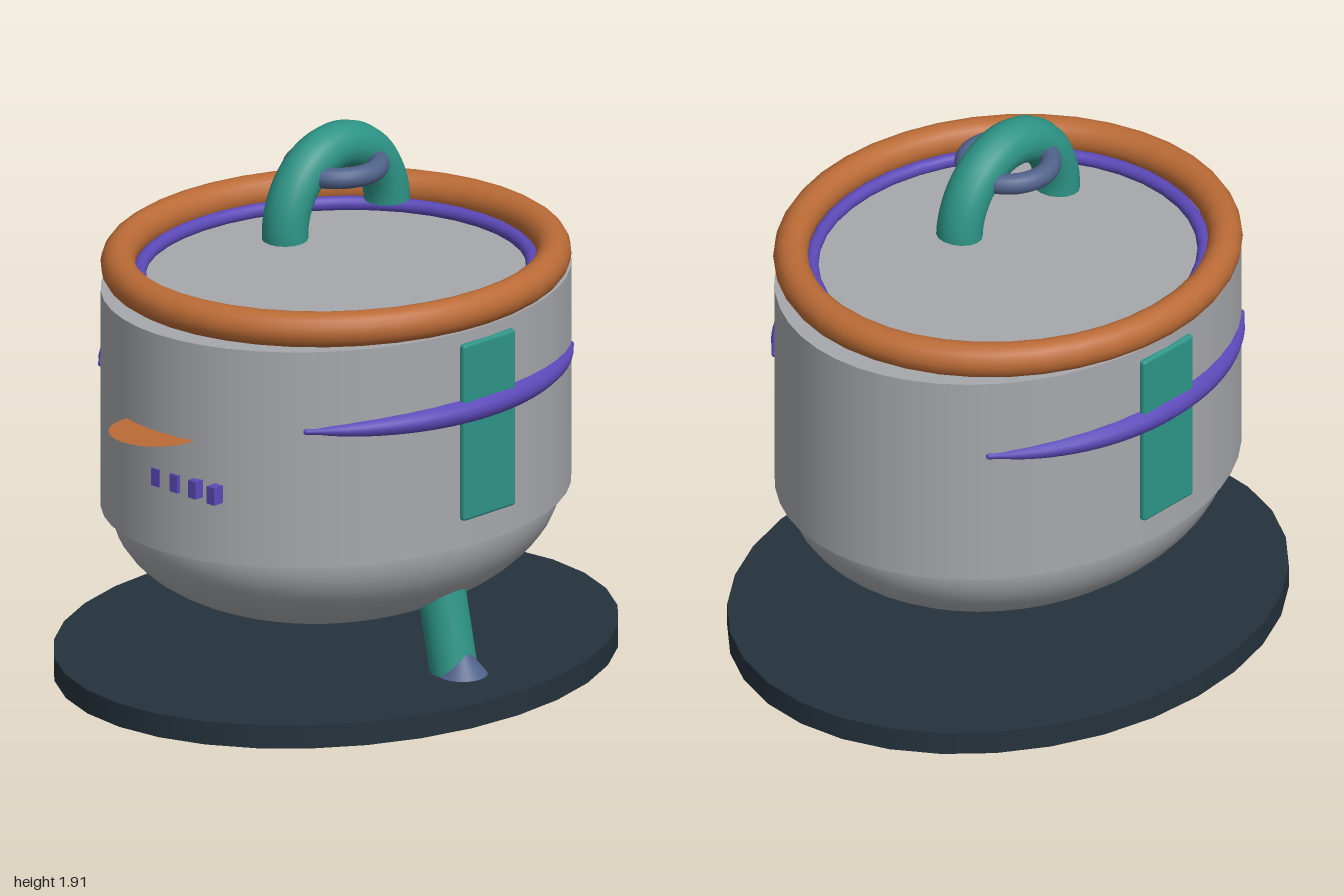
import * as THREE from 'three';
import { mergeGeometries } from 'three/addons/utils/BufferGeometryUtils.js';
import { RoundedBoxGeometry } from 'three/addons/geometries/RoundedBoxGeometry.js';

const mat = (name, color, side = THREE.FrontSide) => {
  const m = new THREE.MeshStandardMaterial({ color, side });
  m.name = name;
  return m;
};

export function createModel() {
  const grey = mat('metal grey', 0xa6a8ac);
  const dark = mat('dark base', 0x25323c);
  const orange = mat('copper orange', 0xbb6b36, THREE.DoubleSide);
  const purple = mat('purple', 0x5c49b8);
  const teal = mat('teal', 0x2d9486);
  const slate = mat('slate blue', 0x50628a);

  const group = new THREE.Group();
  const add = (name, geometry, material, x = 0, y = 0, z = 0) => {
    const mesh = new THREE.Mesh(geometry, material);
    mesh.name = name;
    mesh.position.set(x, y, z);
    group.add(mesh);
    return mesh;
  };
  // Horizontal ring, squashed along x
  const ring = (R, r, sx) => new THREE.TorusGeometry(R, r, 16, 40).rotateX(Math.PI / 2).scale(sx, 1, 1);

  // Oval base plate
  add('basePlate', new THREE.CylinderGeometry(1, 1, 0.08, 32).scale(0.84, 1, 1), dark, 0, 0.115);

  // Pot: oval wall over a rounded bowl
  add('potBody', new THREE.CylinderGeometry(1, 1, 0.745, 48).scale(0.7, 1, 0.83), grey, 0, 1.0175);
  add('bowl', new THREE.SphereGeometry(1, 48, 16, 0, Math.PI * 2, Math.PI / 2, Math.PI / 2)
    .scale(0.67, 0.385, 0.795), grey, 0, 0.645);

  // Rim and inner seal
  add('rim', ring(0.74, 0.059, 0.922), orange, 0, 1.45);
  add('innerSeal', ring(0.667, 0.024, 0.926), purple, 0, 1.41);

  // Arched lid handle with closed ends
  const R = 0.235, r = 0.073;
  const arch = [new THREE.TorusGeometry(R, r, 16, 32, Math.PI)];
  for (const s of [-1, 1]) {
    arch.push(new THREE.CircleGeometry(r, 16).rotateX(Math.PI / 2).translate(s * R, 0, 0));
  }
  add('lidHandle', mergeGeometries(arch).rotateZ(0.05).scale(1, 1.07, 1.08).rotateY(Math.PI / 2),
    teal, 0, 1.585);
  add('handleRing', ring(0.14, 0.035, 1), slate, 0, 1.77);

  // Side panels and tapered grips that follow the wall
  const gripPath = (s) => new THREE.CatmullRomCurve3(
    Array.from({ length: 13 }, (_, i) => {
      const a = (i / 6 - 1) * 0.825;
      return new THREE.Vector3(s * 0.698 * Math.cos(a), 0, 0.83 * Math.sin(a));
    }));
  for (const s of [-1, 1]) {
    const side = s > 0 ? 'left' : 'right';
    add(side + 'Panel', new RoundedBoxGeometry(0.04, 0.61, 0.24, 2, 0.012), teal, s * 0.693, 1.045);

    const path = gripPath(s), steps = 32, sides = 12;
    const grip = new THREE.TubeGeometry(path, steps, 0.041, sides);
    const pos = grip.attributes.position, p = new THREE.Vector3();
    for (let i = 0; i < pos.count; i++) {
      const t = Math.floor(i / (sides + 1)) / steps;
      const taper = Math.max(0.25, Math.pow(Math.max(0, Math.sin(Math.PI * t)), 0.55));
      const c = path.getPointAt(t);
      p.fromBufferAttribute(pos, i).sub(c).multiplyScalar(taper).add(c);
      pos.setXYZ(i, p.x, p.y, p.z);
    }
    grip.computeVertexNormals();
    add(side + 'Grip', grip, purple, 0, 1.115);
    for (const t of [0, 1]) {
      const c = path.getPointAt(t);
      add(side + 'GripTip', new THREE.SphereGeometry(0.0103, 10, 8), purple, c.x, 1.115, c.z);
    }
  }

  // Front ledge and row of buttons
  add('frontLedge', new THREE.CircleGeometry(0.155, 32).rotateX(-Math.PI / 2), orange, 0, 1.055, 0.83);
  for (let i = 0; i < 4; i++) {
    add('button', new THREE.BoxGeometry(0.035, 0.06, 0.04), purple, i * 0.085, 0.895, 0.814);
  }

  // Slanted support leg with a small cone at its foot
  const tilt = 0.21, len = 0.52;
  const leg = add('supportLeg', new THREE.CylinderGeometry(0.079, 0.079, len, 24).translate(0, len / 2, 0),
    teal, 0.573, 0.018);
  leg.rotation.z = tilt;
  add('footCone', new THREE.ConeGeometry(0.083, 0.105, 24), slate, 0.583, 0.2075);

  return group;
}
